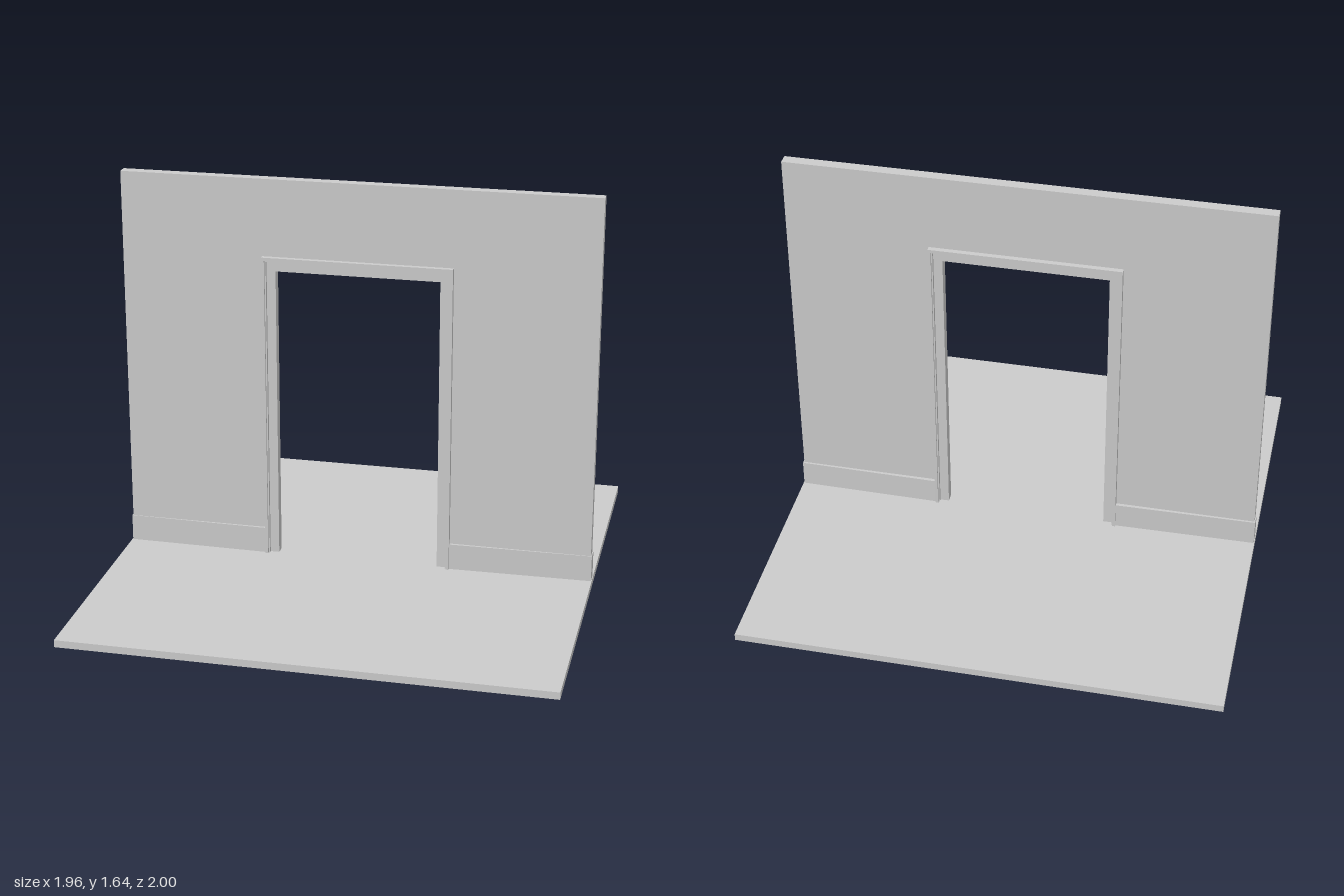
import * as THREE from 'three';

const FLOOR_TOP = 0.03;

export function createModel() {
  const group = new THREE.Group();
  const material = new THREE.MeshStandardMaterial({ color: 0xcccccc });

  const add = (name, geometry) => {
    const mesh = new THREE.Mesh(geometry, material);
    mesh.name = name;
    group.add(mesh);
    return mesh;
  };

  // Doorway-shaped slab: outer and inner half widths and heights, centred on z
  const arch = (name, outerX, outerY, innerX, innerY, halfDepth) => {
    const shape = new THREE.Shape([
      [-outerX, FLOOR_TOP], [-outerX, outerY], [outerX, outerY], [outerX, FLOOR_TOP],
      [innerX, FLOOR_TOP], [innerX, innerY], [-innerX, innerY], [-innerX, FLOOR_TOP],
    ].map(([x, y]) => new THREE.Vector2(x, y)));
    const geometry = new THREE.ExtrudeGeometry(shape, { depth: 2 * halfDepth, bevelEnabled: false });
    geometry.translate(0, 0, -halfDepth);
    add(name, geometry);
  };

  // Floor slab
  add('floor', new THREE.BoxGeometry(1.96, FLOOR_TOP, 2)).position.y = FLOOR_TOP / 2;

  // Wall with door opening
  arch('wall', 0.973, 1.642, 0.385, 1.317, 0.022);

  // Stepped door frame: proud outer trim, narrow step, recessed lining
  arch('doorTrim', 0.39, 1.323, 0.378, 1.309, 0.043);
  arch('doorTrimStep', 0.378, 1.309, 0.373, 1.304, 0.034);
  arch('doorLining', 0.373, 1.304, 0.336, 1.262, 0.02);

  // Baseboards wrap the wall ends and thicken slightly towards the door
  for (const side of [1, -1]) {
    const shape = new THREE.Shape([
      [0.385, -0.033], [0.977, -0.025], [0.977, 0.03], [0.385, 0.036],
    ].map(([x, y]) => new THREE.Vector2(side * x, y)));
    const geometry = new THREE.ExtrudeGeometry(shape, { depth: 0.14 - FLOOR_TOP, bevelEnabled: false });
    geometry.rotateX(-Math.PI / 2);
    geometry.translate(0, FLOOR_TOP, 0);
    add(side > 0 ? 'leftBaseboard' : 'rightBaseboard', geometry);
  }

  return group;
}
